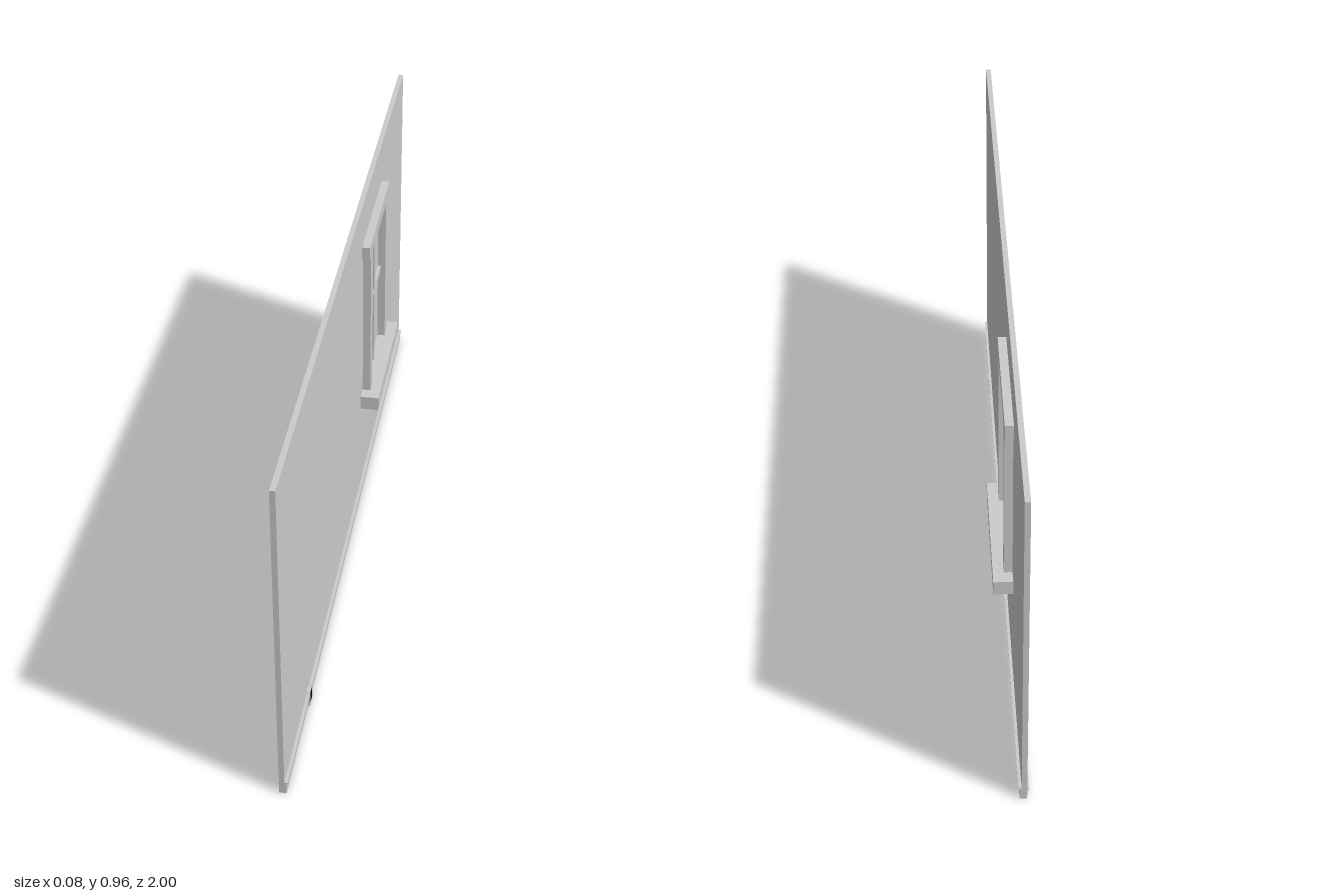
import * as THREE from 'three';

const grey = new THREE.MeshStandardMaterial({ color: 0xcccccc });
const black = new THREE.MeshStandardMaterial({ color: 0x000000 });

// Box given by its extents on each axis
function block(name, [x0, x1], [y0, y1], [z0, z1], material = grey) {
  const mesh = new THREE.Mesh(new THREE.BoxGeometry(x1 - x0, y1 - y0, z1 - z0), material);
  mesh.position.set((x0 + x1) / 2, (y0 + y1) / 2, (z0 + z1) / 2);
  mesh.name = name;
  return mesh;
}

// Round-topped doorway outline standing on y = 0
function archShape(halfWidth, height) {
  const shape = new THREE.Shape();
  shape.moveTo(-halfWidth, 0);
  shape.lineTo(halfWidth, 0);
  shape.lineTo(halfWidth, height - halfWidth);
  shape.absarc(0, height - halfWidth, halfWidth, 0, Math.PI);
  shape.closePath();
  return shape;
}

// Extrude an arch outline along x
function arch(name, shape, [x0, x1], z, material) {
  const geometry = new THREE.ExtrudeGeometry(shape, { depth: x1 - x0, bevelEnabled: false, curveSegments: 10 });
  geometry.rotateY(Math.PI / 2);
  const mesh = new THREE.Mesh(geometry, material);
  mesh.position.set(x0, 0, z);
  mesh.name = name;
  return mesh;
}

function createWindow() {
  const group = new THREE.Group();
  group.name = 'window';
  const depth = [-0.026, 0.013];
  group.add(
    block('lintel', depth, [0.802, 0.84], [-0.575, -0.21]),
    block('sill', [-0.042, 0.042], [0.305, 0.347], [-0.588, -0.196]),
    block('jamb', depth, [0.347, 0.802], [-0.27, -0.232]),
    block('jamb', depth, [0.347, 0.802], [-0.552, -0.513]),
    // Glazing bars on the outer face only
    block('verticalBar', [-0.012, 0], [0.347, 0.802], [-0.4, -0.382]),
    block('horizontalBar', [-0.012, -0.001], [0.577, 0.593], [-0.513, -0.27])
  );
  return group;
}

function createHole() {
  const group = new THREE.Group();
  group.name = 'smallDoorway';
  const trim = archShape(0.02, 0.047);
  const opening = archShape(0.014, 0.041);
  trim.holes.push(new THREE.Path(opening.getPoints(10)));
  group.add(
    arch('doorwayTrim', trim, [-0.012, 0], 0.677, grey),
    arch('doorwayOpening', opening, [-0.012, -0.001], 0.677, black),
    block('doorwayCatch', [-0.036, -0.022], [0.04, 0.047], [0.664, 0.69])
  );
  return group;
}

export function createModel() {
  const model = new THREE.Group();
  model.name = 'wallWithWindow';

  // Wall panel, dark on its -x face
  const sides = [grey, black, grey, grey, grey, grey];
  model.add(block('wall', [-0.023, -0.009], [0.033, 0.963], [-1, 1], sides));

  // Skirting and its thin cap
  model.add(block('skirting', [-0.023, -0.004], [0, 0.033], [-1, 1]));
  model.add(block('skirtingCap', [-0.027, -0.001], [0.033, 0.037], [-1, 1]));

  model.add(createWindow(), createHole());
  return model;
}
